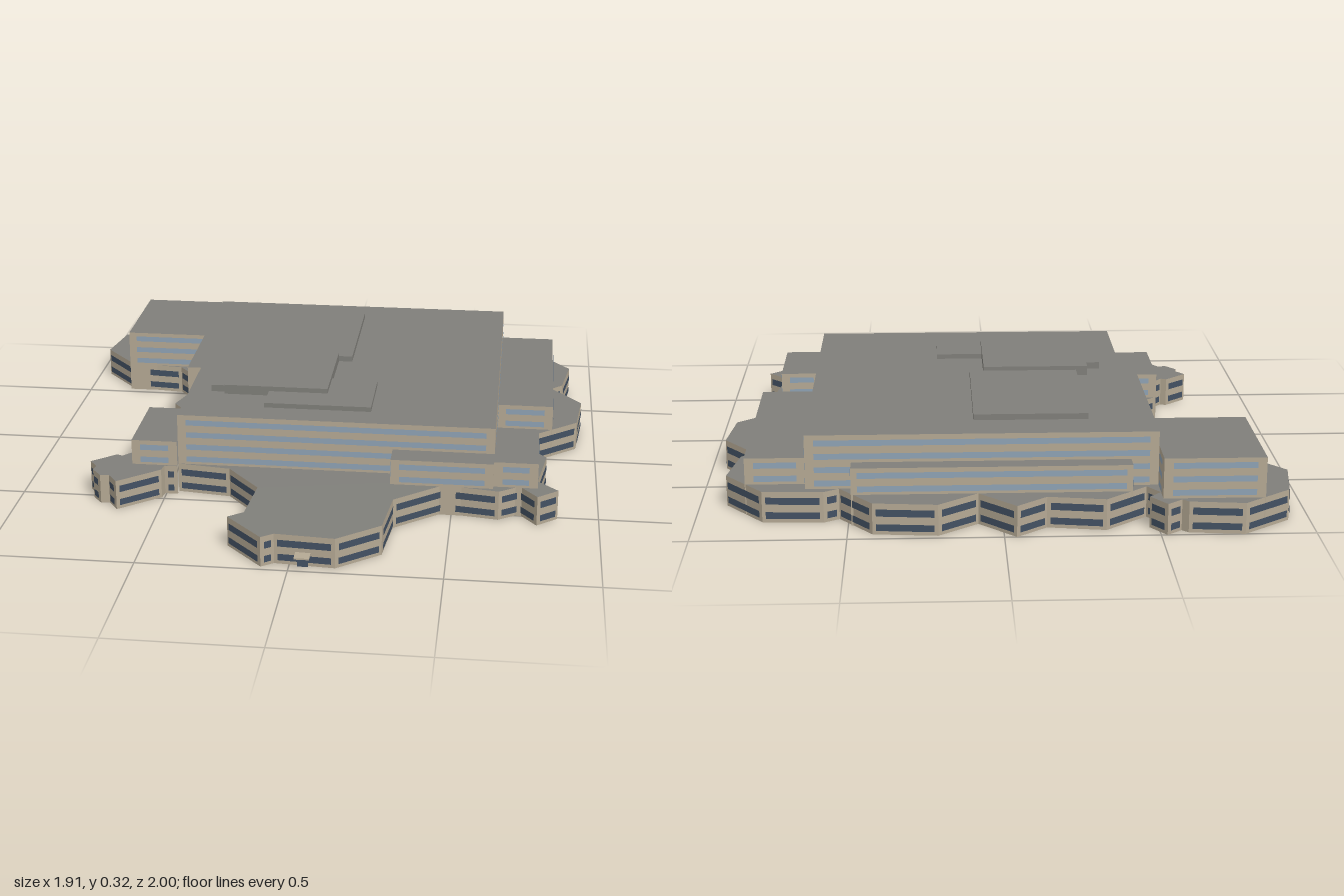
import * as THREE from 'three';
import { mergeGeometries } from 'three/addons/utils/BufferGeometryUtils.js';

function material(name, color) {
  const m = new THREE.MeshStandardMaterial({ color, side: THREE.DoubleSide });
  m.name = name;
  return m;
}

// Vertical strips along a chain of [x, z] points (clockwise seen from above)
function strips(chain, y0, y1, inset = 0, out = 0) {
  const parts = [];
  for (let i = 0; i < chain.length - 1; i++) {
    const [ax, az] = chain[i], [bx, bz] = chain[i + 1];
    const dx = bx - ax, dz = bz - az, len = Math.hypot(dx, dz);
    if (len - 2 * inset < 0.02) continue;
    const g = new THREE.PlaneGeometry(len - 2 * inset, y1 - y0);
    g.rotateY(Math.atan2(dz, -dx));
    g.translate((ax + bx) / 2 + out * dz / len, (y0 + y1) / 2, (az + bz) / 2 - out * dx / len);
    parts.push(g);
  }
  return mergeGeometries(parts);
}

function flatRoof(points, y) {
  const shape = new THREE.Shape(points.map(([x, z]) => new THREE.Vector2(x, -z)));
  return new THREE.ShapeGeometry(shape).rotateX(-Math.PI / 2).translate(0, y, 0);
}

export function createModel() {
  const model = new THREE.Group();
  model.name = 'building';
  const wall = material('beige wall', 0xb5a994);
  const roof = material('grey roof', 0x807f7a);
  const glass = material('light blue window', 0x8fa3b5);
  const darkGlass = material('dark blue window', 0x435163);

  const add = (parent, name, geometry, mat) => {
    const mesh = new THREE.Mesh(geometry, mat);
    mesh.name = name;
    parent.add(mesh);
  };

  // A hollow block: walls on the chain, roof closed by extra corners, window bands [y0, y1]
  function block(name, chain, closing, height, bands, mat, inset) {
    const group = new THREE.Group();
    group.name = name;
    add(group, 'walls', strips(chain, 0, height), wall);
    add(group, 'roof', flatRoof([...chain, ...closing], height), roof);
    for (const [y0, y1] of bands) add(group, 'windowBand', strips(chain, y0, y1, inset, 0.003), mat);
    model.add(group);
  }

  // Upper storeys start above the two storey base
  const base = 0.105, storey = 0.0455;
  const upper = (n) => Array.from({ length: n }, (_, i) => [base + i * storey + 0.01, base + i * storey + 0.03]);
  const lower = [[0.013, 0.036], [0.062, 0.086]];

  // Main hall
  block('mainHall', [[-0.51, -0.82], [0.64, -0.82], [0.64, 0.43], [-0.46, 0.43], [-0.46, -0.04],
    [-0.51, -0.04], [-0.51, -0.82]], [], 0.288, upper(4), glass, 0.03);

  // Mid-height wings
  block('backLeftWing', [[-0.51, -0.53], [-0.84, -0.53], [-0.84, -0.95], [-0.51, -0.95], [-0.51, -0.82]],
    [], 0.24, upper(3), glass, 0.03);
  block('backWing', [[-0.42, -0.82], [-0.42, -0.88], [0.49, -0.88], [0.49, -0.82]],
    [], 0.195, upper(2), glass, 0.02);
  block('rightWing', [[0.64, -0.77], [0.84, -0.77], [0.84, -0.03], [0.64, -0.03]],
    [], 0.195, upper(2), glass, 0.03);
  block('frontRightWing', [[0.64, 0.2], [0.79, 0.2], [0.79, 0.5], [0.64, 0.5], [0.64, 0.52], [0.29, 0.52],
    [0.29, 0.43]], [[0.64, 0.43]], 0.195, upper(2), glass, 0.03);
  block('leftWing', [[-0.46, 0.45], [-0.62, 0.45], [-0.62, 0.14], [-0.46, 0.14]],
    [], 0.195, upper(2), glass, 0.03);

  // Low faceted bays around the hall: [name, outer chain, corners along the hall]
  const bays = [
    ['backLeftBay', [[-0.51, -0.37], [-0.63, -0.52], [-0.83, -0.54], [-0.96, -0.69], [-0.93, -0.88], [-0.77, -1],
      [-0.59, -0.98], [-0.57, -0.96], [-0.52, -1], [-0.47, -0.93], [-0.51, -0.89], [-0.47, -0.835]],
    [[-0.47, -0.82], [-0.51, -0.82]]],
    ['backBay', [[-0.47, -0.835], [-0.33, -0.95], [-0.14, -0.92], [-0.04, -1], [0.08, -0.88], [0.21, -0.98],
      [0.42, -0.96], [0.53, -0.82]], [[-0.47, -0.82]]],
    ['rightBay', [[0.53, -0.82], [0.58, -0.85], [0.78, -0.84], [0.91, -0.68], [0.88, -0.49], [0.84, -0.45],
      [0.95, -0.31], [0.93, -0.11], [0.78, 0.02], [0.64, 0.01]], [[0.64, -0.82]]],
    ['frontBay', [[0.64, 0.01], [0.82, 0.23], [0.79, 0.44], [0.86, 0.51], [0.79, 0.57], [0.73, 0.49],
      [0.66, 0.54], [0.47, 0.51], [0.31, 0.645], [0.29, 0.85], [0.15, 0.965], [-0.05, 0.95], [-0.09, 0.98],
      [-0.22, 0.84], [-0.17, 0.8], [-0.155, 0.6], [-0.275, 0.455], [-0.46, 0.43]], [[0.64, 0.43]]],
    ['frontLeftBay', [[-0.46, 0.455], [-0.505, 0.455], [-0.51, 0.49], [-0.645, 0.605], [-0.68, 0.555],
      [-0.71, 0.56], [-0.745, 0.515], [-0.74, 0.485], [-0.77, 0.445], [-0.69, 0.375], [-0.67, 0.385],
      [-0.635, 0.345], [-0.615, 0.14], [-0.46, 0.01]], []],
    ['leftBay', [[-0.46, 0.01], [-0.58, -0.13], [-0.51, -0.37]], [[-0.51, -0.04], [-0.46, -0.04]]],
  ];
  for (const [name, chain, closing] of bays) block(name, chain, closing, base, lower, darkGlass, 0.012);

  // Raised roof decks: x0, x1, z0, z1, top
  const decks = [
    [-0.29, 0.09, -0.68, -0.17, 0.308],
    [-0.33, 0.04, -0.17, 0.21, 0.322],
    [-0.38, -0.33, -0.09, 0.19, 0.312],
    [-0.17, 0.205, 0.06, 0.325, 0.305],
  ];
  for (const [x0, x1, z0, z1, top] of decks) {
    const h = top - 0.286;
    add(model, 'roofDeck', new THREE.BoxGeometry(x1 - x0, h, z1 - z0)
      .translate((x0 + x1) / 2, top - h / 2, (z0 + z1) / 2), roof);
  }

  // Entrance with a small canopy
  add(model, 'entranceCanopy', new THREE.BoxGeometry(0.05, 0.005, 0.045).translate(0.045, 0.044, 0.978), wall);
  add(model, 'entranceDoor', new THREE.BoxGeometry(0.035, 0.036, 0.006).translate(0.045, 0.018, 0.963), darkGlass);

  return model;
}
